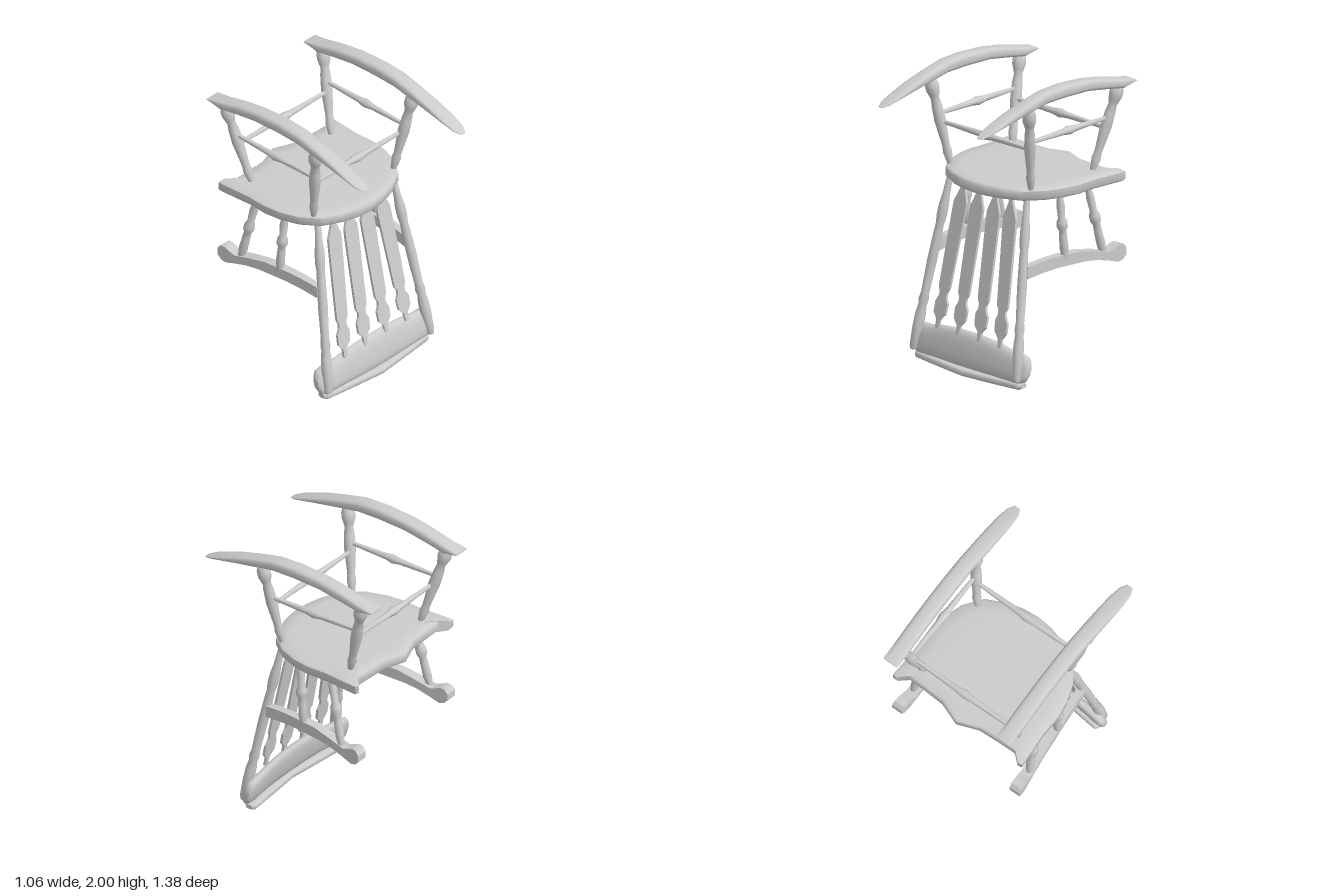
import * as THREE from 'three';
import { toCreasedNormals } from 'three/addons/utils/BufferGeometryUtils.js';

const material = new THREE.MeshStandardMaterial({ color: 0xcccccc });
const V = (x, y, z) => new THREE.Vector3(x, y, z);

function add(parent, name, geometry) {
  const mesh = new THREE.Mesh(geometry, material);
  mesh.name = name;
  parent.add(mesh);
  return mesh;
}

// Closed skin over a list of equal-length rings, with both ends capped.
function loft(rings, crease = 0.7) {
  const n = rings[0].length, points = rings.flat(), index = [];
  for (let i = 0; i < rings.length - 1; i++) {
    for (let j = 0; j < n; j++) {
      const a = i * n + j, b = i * n + (j + 1) % n;
      index.push(a, b, b + n, a, b + n, a + n);
    }
  }
  for (const end of [0, rings.length - 1]) {
    const centre = V(0, 0, 0);
    rings[end].forEach(p => centre.addScaledVector(p, 1 / n));
    const c = points.push(centre) - 1;
    for (let j = 0; j < n; j++) {
      const a = end * n + j, b = end * n + (j + 1) % n;
      if (end) index.push(c, a, b); else index.push(c, b, a);
    }
  }
  // Turn the faces outward if the signed volume is negative
  let volume = 0;
  for (let i = 0; i < index.length; i += 3) {
    const [a, b, c] = [0, 1, 2].map(k => points[index[i + k]]);
    volume += a.dot(b.clone().cross(c));
  }
  if (volume < 0) index.reverse();
  const geometry = new THREE.BufferGeometry().setFromPoints(points);
  geometry.setIndex(index);
  return toCreasedNormals(geometry, crease);
}

// Rounded-box section: list of [u, v] in -1..1
function roundSection(n, power) {
  return Array.from({ length: n }, (_, i) => {
    const a = (i + 0.5) / n * Math.PI * 2, c = Math.cos(a), s = Math.sin(a);
    return [Math.sign(c) * Math.abs(c) ** power, Math.sign(s) * Math.abs(s) ** power];
  });
}

// Turned wood between two points; profile is [fraction of length, radius]
function turned(parent, name, from, to, profile) {
  const length = from.distanceTo(to);
  const points = profile.map(([t, r]) => new THREE.Vector2(r, t * length));
  points.unshift(new THREE.Vector2(0, points[0].y));
  points.push(new THREE.Vector2(0, points[points.length - 1].y));
  const mesh = add(parent, name, toCreasedNormals(new THREE.LatheGeometry(points, 12), 0.8));
  mesh.position.copy(from);
  mesh.quaternion.setFromUnitVectors(V(0, 1, 0), to.clone().sub(from).normalize());
}

const LEG = [[0, 0.018], [0.08, 0.024], [0.16, 0.031], [0.22, 0.026], [0.3, 0.028], [0.55, 0.039],
  [0.72, 0.035], [0.81, 0.028], [0.86, 0.036], [0.92, 0.046], [0.98, 0.046], [1.05, 0.034]];
const POST = [[0, 0.02], [0.02, 0.028], [0.12, 0.036], [0.2, 0.036], [0.25, 0.028], [0.28, 0.034],
  [0.32, 0.028], [0.5, 0.033], [0.66, 0.03], [0.7, 0.027], [0.75, 0.034], [0.81, 0.034], [0.87, 0.026], [1, 0.02]];
const SPINDLE = [[0, 0.02], [0.15, 0.03], [0.35, 0.027], [0.42, 0.025], [0.48, 0.037], [0.55, 0.037],
  [0.61, 0.024], [0.8, 0.028], [1, 0.015]];
const STRETCHER = [[0, 0.013], [0.25, 0.018], [0.42, 0.021], [0.5, 0.031], [0.58, 0.021], [0.75, 0.018], [1, 0.013]];

function rocker(side) {
  // [z, top, bottom, half width]
  const stations = [[0.69, 1.8, 1.796, 0.022], [0.64, 1.824, 1.808, 0.045], [0.55, 1.86, 1.83, 0.054],
    [0.43, 1.905, 1.853, 0.056], [0.28, 1.95, 1.88, 0.056], [0.12, 1.99, 1.91, 0.056], [-0.05, 2, 1.915, 0.056],
    [-0.26, 1.988, 1.91, 0.056], [-0.42, 1.962, 1.885, 0.056], [-0.58, 1.923, 1.857, 0.056], [-0.69, 1.896, 1.888, 0.056]];
  return loft(stations.map(([z, top, bottom, w]) => roundSection(16, 0.6).map(([u, v]) =>
    V(side * 0.455 + u * w, (top + bottom) / 2 + v * (top - bottom) / 2, z))));
}

function seat() {
  const half = [[0, 0.31], [0.11, 0.3], [0.22, 0.27], [0.36, 0.2], [0.45, 0.08], [0.495, -0.05], [0.512, -0.17],
    [0.505, -0.32], [0.515, -0.45], [0.522, -0.57], [0.49, -0.575], [0.43, -0.52], [0.31, -0.522], [0.15, -0.53], [0, -0.587]];
  const outline = [...half, ...half.slice(1, -1).reverse().map(([x, z]) => [-x, z])];
  // [scale of outline, height], with a shallow dish on the lower face
  const levels = [[0.4, 1.316], [0.8, 1.315], [0.97, 1.311], [1, 1.3], [1, 1.25], [0.98, 1.236], [0.9, 1.232], [0.5, 1.25]];
  return loft(levels.map(([s, y]) => outline.map(([x, z]) => V(x * s, y, -0.13 + (z + 0.13) * s))), 0.9);
}

// Slope shared by the posts, slats and crest rail
const backZ = y => 0.16 + (1.23 - y) * 0.185;

function slat(topX, bottomX) {
  // [height, half width]
  const profile = [[1.25, 0.013], [1.19, 0.018], [1.09, 0.058], [1.02, 0.058], [0.56, 0.05], [0.52, 0.048],
    [0.49, 0.032], [0.46, 0.034], [0.42, 0.055], [0.35, 0.052], [0.31, 0.017], [0.25, 0.014]];
  return loft(profile.map(([y, w]) => {
    const x = THREE.MathUtils.mapLinear(y, 1.23, 0.28, topX, bottomX);
    return [[-1, -1], [1, -1], [1, 1], [-1, 1]].map(([u, v]) => V(x + u * w, y, backZ(y) + v * 0.009));
  }), 0.3);
}

function crestRail() {
  // [x, bottom, top, half thickness]
  const half = [[0, 0.055, 0.285, 0.034], [0.15, 0.055, 0.281, 0.034], [0.28, 0.055, 0.266, 0.034],
    [0.38, 0.052, 0.247, 0.036], [0.46, 0.05, 0.242, 0.04], [0.51, 0.062, 0.228, 0.036], [0.532, 0.1, 0.19, 0.022]];
  const stations = [...half.slice(1).reverse().map(([x, ...r]) => [-x, ...r]), ...half];
  return loft(stations.map(([x, low, high, t]) => roundSection(16, 0.75).map(([u, v]) => {
    const y = (low + high) / 2 + v * (high - low) / 2;
    return V(x, y, 0.292 + (0.25 - y) * 0.22 + 0.03 * (1 - (x / 0.53) ** 2) + u * t);
  })), 0.9);
}

function crestLip() {
  const xs = [-0.49, -0.47, -0.3, -0.15, 0, 0.15, 0.3, 0.47, 0.49];
  return loft(xs.map(x => roundSection(12, 0.6).map(([u, v]) => {
    const end = Math.abs(x) > 0.48 ? 0.6 : 1;
    return V(x, 0.032 + v * 0.024 * end + 0.006 * (x / 0.49) ** 2 - 0.006, 0.372 - 0.05 * Math.abs(x) / 0.49 + u * 0.042 * end);
  })), 0.7);
}

function arm(side) {
  // Side outline [z, y] with a scrolled back end
  const outline = [[0.23, 0.81], [0.1, 0.825], [-0.02, 0.83], [-0.2, 0.828], [-0.33, 0.803], [-0.45, 0.775], [-0.49, 0.79],
    [-0.53, 0.808], [-0.565, 0.805], [-0.588, 0.775], [-0.588, 0.73], [-0.56, 0.7], [-0.52, 0.69], [-0.45, 0.712],
    [-0.35, 0.738], [-0.25, 0.75], [-0.02, 0.753], [0.1, 0.745], [0.23, 0.728]];
  const shape = new THREE.Shape(outline.map(p => new THREE.Vector2(...p)));
  const geometry = new THREE.ExtrudeGeometry(shape, { depth: 1, bevelEnabled: false });
  // Shape plane becomes z/y; the arm widens and splays outward toward the scroll
  const p = geometry.attributes.position;
  for (let i = 0; i < p.count; i++) {
    const z = p.getX(i), y = p.getY(i), t = (0.23 - z) / 0.82;
    const across = side * (0.41 + 0.065 * t) + (0.5 - p.getZ(i)) * (0.05 + 0.03 * t);
    p.setXYZ(i, across, y, z);
  }
  geometry.computeVertexNormals();
  return toCreasedNormals(geometry, 0.6);
}

export function createModel() {
  const chair = new THREE.Group();
  chair.name = 'upturnedRockingChair';

  add(chair, 'seat', seat());
  add(chair, 'crestRail', crestRail());
  add(chair, 'crestLip', crestLip());

  for (const s of [-1, 1]) {
    add(chair, 'rocker', rocker(s));
    turned(chair, 'frontLeg', V(s * 0.372, 1.3, 0.14), V(s * 0.453, 1.86, 0.235), LEG);
    turned(chair, 'backLeg', V(s * 0.372, 1.3, -0.415), V(s * 0.453, 1.85, -0.565), LEG);
    turned(chair, 'sideStretcher', V(s * 0.422, 1.65, 0.19), V(s * 0.422, 1.66, -0.5), STRETCHER);
    turned(chair, 'backPost', V(s * 0.48, 0.07, 0.375), V(s * 0.352, 1.26, 0.155), POST);
    add(chair, 'arm', arm(s));
    turned(chair, 'frontArmSpindle', V(s * 0.45, 0.8, -0.092), V(s * 0.437, 1.26, -0.055), SPINDLE);
    turned(chair, 'backArmSpindle', V(s * 0.47, 0.76, -0.42), V(s * 0.437, 1.26, -0.305), SPINDLE);
    // Two slats on each side of the centre
    add(chair, 'innerSlat', slat(s * 0.073, s * 0.097));
    add(chair, 'outerSlat', slat(s * 0.218, s * 0.287));
  }

  // Cross stretchers between the legs
  for (const z of [0.178, -0.487]) {
    turned(chair, 'crossStretcher', V(-0.41, 1.595, z), V(0.41, 1.595, z), STRETCHER);
  }
  return chair;
}
